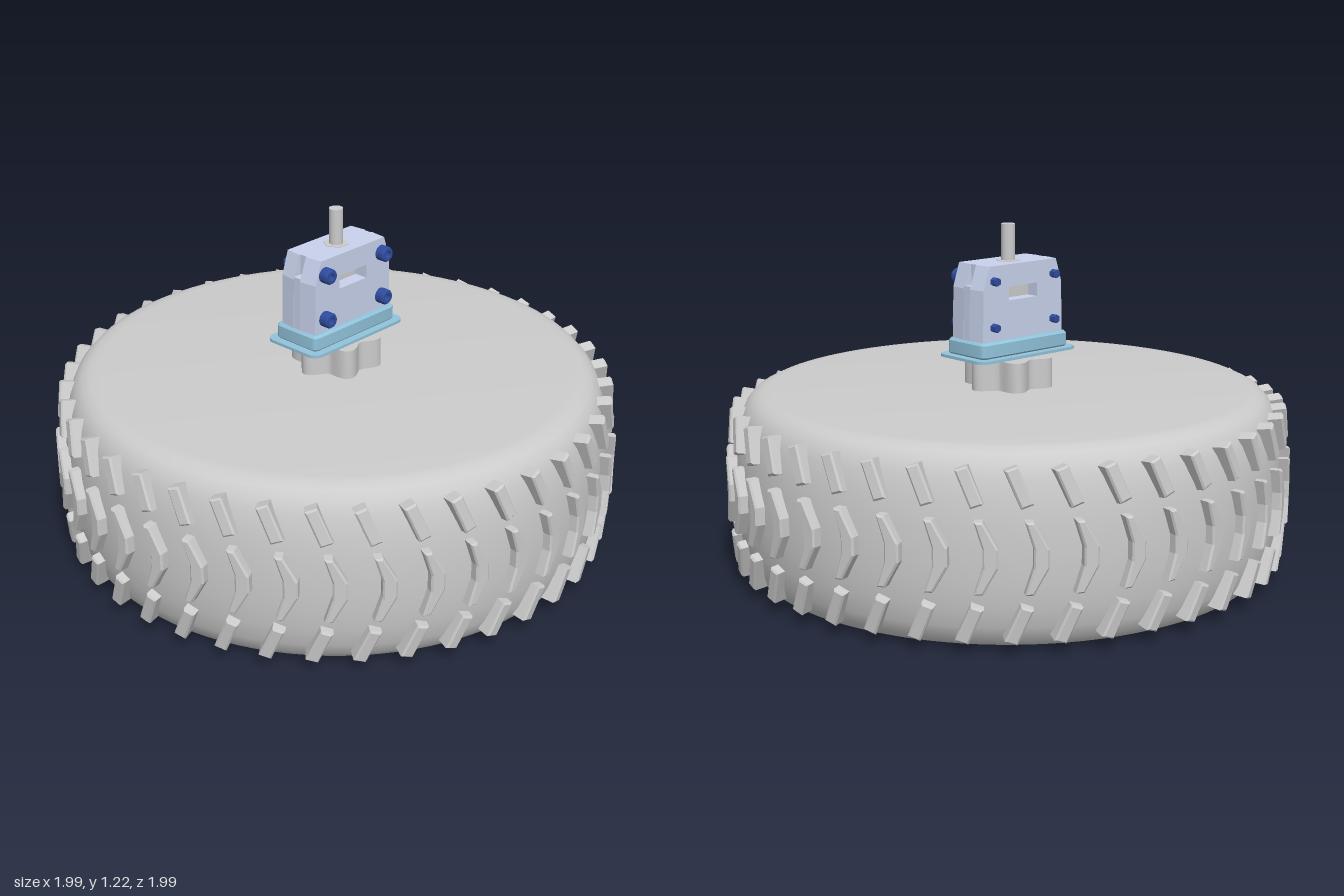
import * as THREE from 'three';
import { toCreasedNormals } from 'three/addons/utils/BufferGeometryUtils.js';

const grey = new THREE.MeshStandardMaterial({ color: 0xcccccc });
const paleBlue = new THREE.MeshStandardMaterial({ color: 0xc8d2ec });
const teal = new THREE.MeshStandardMaterial({ color: 0x92c4dc });
const boltBlue = new THREE.MeshStandardMaterial({ color: 0x2f4c9e });

const vecs = pts => pts.map(([x, y]) => new THREE.Vector2(x, y));

function add(parent, name, geometry, material, x = 0, y = 0, z = 0) {
  const mesh = new THREE.Mesh(geometry, material);
  mesh.name = name;
  mesh.position.set(x, y, z);
  parent.add(mesh);
  return mesh;
}

// Extrudes a shape between two depths, with a small chamfer inside the outline
function slab(shape, z0, z1, bevel = 0) {
  const g = new THREE.ExtrudeGeometry(shape, {
    depth: z1 - z0 - 2 * bevel, bevelEnabled: bevel > 0, bevelSegments: 1,
    bevelSize: bevel, bevelThickness: bevel, bevelOffset: -bevel, curveSegments: 8,
  });
  return g.translate(0, 0, z0 + bevel);
}

function roundedRect(hw, hh, r) {
  const s = new THREE.Shape();
  s.absarc(hw - r, hh - r, r, 0, Math.PI / 2);
  s.absarc(r - hw, hh - r, r, Math.PI / 2, Math.PI);
  s.absarc(r - hw, r - hh, r, Math.PI, Math.PI * 1.5);
  s.absarc(hw - r, r - hh, r, Math.PI * 1.5, Math.PI * 2);
  s.closePath();
  return s;
}

function makeTyre() {
  const tyre = new THREE.Group();
  tyre.name = 'tyre';

  // Body, from the recessed underside out and over to the flat top
  const profile = vecs([
    [0, 0.085], [0.1, 0.085], [0.1, 0.05], [0.24, 0.05], [0.24, 0.04], [0.35, 0.04],
    [0.38, 0.034], [0.42, 0.016], [0.45, 0.007], [0.48, 0.005], [0.83, 0.005],
    [0.865, 0.008], [0.895, 0.022], [0.92, 0.05], [0.937, 0.09], [0.952, 0.16],
    [0.96, 0.24], [0.962, 0.328], [0.96, 0.415], [0.952, 0.495], [0.937, 0.565],
    [0.92, 0.605], [0.895, 0.633], [0.865, 0.647], [0.83, 0.65], [0, 0.65],
  ]);
  add(tyre, 'tyreBody', toCreasedNormals(new THREE.LatheGeometry(profile, 96), 0.6), grey);

  // Tread blocks: a chevron in the middle, slanted blocks above and below
  const chevron = slab(new THREE.Shape(vecs([
    [-0.062, 0.115], [-0.035, 0.115], [0.012, 0.03], [0.012, -0.03],
    [-0.035, -0.115], [-0.062, -0.115], [-0.036, -0.03], [-0.036, 0.03],
  ])), 0.93, 0.994, 0.006).translate(0, 0.328, 0);
  const shoulder = side => slab(new THREE.Shape(vecs([
    [-0.122, 0.052], [-0.082, 0.066], [-0.033, -0.052], [-0.073, -0.066],
  ].map(([x, y]) => [x, y * side]))), -0.06, 0, 0.006)
    .rotateX(-0.13 * side).translate(0, 0.328 + 0.219 * side, 0.975);
  const blocks = { centreTread: chevron, upperTread: shoulder(1), lowerTread: shoulder(-1) };
  const count = 40;
  for (const [name, geometry] of Object.entries(blocks)) {
    for (let i = 0; i < count; i++) {
      add(tyre, name, geometry, grey).rotation.y = (i / count) * Math.PI * 2;
    }
  }
  return tyre;
}

function makeMount() {
  const mount = new THREE.Group();
  mount.name = 'mount';

  // Six-lobed knob and its neck
  const lobes = [];
  for (let i = 0; i < 96; i++) {
    const a = (i / 96) * Math.PI * 2;
    const r = 0.138 + 0.022 * Math.cos(6 * a);
    lobes.push(new THREE.Vector2(r * Math.cos(a), r * Math.sin(a)));
  }
  const knob = slab(new THREE.Shape(lobes), 0.645, 0.755).rotateX(-Math.PI / 2);
  add(mount, 'knob', toCreasedNormals(knob, 0.6), grey);
  add(mount, 'neck', new THREE.CylinderGeometry(0.08, 0.08, 0.03, 32), grey, 0, 0.76, 0);

  // Gasket: thin flange with a raised step
  const flange = slab(roundedRect(0.227, 0.12, 0.035), 0.766, 0.776).rotateX(-Math.PI / 2);
  const step = slab(roundedRect(0.202, 0.096, 0.02), 0.774, 0.832, 0.008).rotateX(-Math.PI / 2);
  add(mount, 'gasketFlange', toCreasedNormals(flange, 0.5), teal);
  add(mount, 'gasketStep', toCreasedNormals(step, 0.5), teal);

  // Housing in three layers; the middle one is cut back to leave the side slots
  const outer = [[-0.195, 0.83], [0.195, 0.83], [0.191, 1.01], [0.163, 1.092],
    [-0.163, 1.092], [-0.191, 1.01]];
  const inner = [[-0.193, 0.83], [0.193, 0.83], [0.191, 1.02], [0.158, 1.02], [0.158, 1.092],
    [-0.158, 1.092], [-0.158, 1.02], [-0.191, 1.02]];
  const withWindow = pts => {
    const s = new THREE.Shape(vecs(pts));
    s.holes.push(new THREE.Path(vecs([[-0.067, 0.967], [-0.067, 1.015], [0.067, 1.015], [0.067, 0.967]])));
    return s;
  };
  // Chamfers the outer face only, by scaling its outline
  const layer = (z0, z1, face) => {
    const g = slab(withWindow(outer), z0, z1);
    const p = g.attributes.position;
    for (let i = 0; i < p.count; i++) {
      const isRim = Math.abs(p.getX(i)) > 0.1;
      if (isRim && Math.abs(p.getZ(i) - face) < 1e-4) p.setX(i, p.getX(i) * 0.96);
    }
    g.computeVertexNormals();
    return g;
  };
  add(mount, 'housingFront', layer(0.015, 0.08, 0.08), paleBlue);
  add(mount, 'housingBack', layer(-0.077, -0.015, -0.077), paleBlue);
  add(mount, 'housingMiddle', slab(withWindow(inner), -0.015, 0.015), paleBlue);

  // Rod with its hexagonal collar, and the slider seen in the window
  add(mount, 'slider', new THREE.BoxGeometry(0.134, 0.048, 0.06), grey, 0, 0.991, 0);
  add(mount, 'hexCollar', new THREE.CylinderGeometry(0.045, 0.045, 0.03, 6).rotateY(Math.PI / 6),
    grey, 0, 1.079, 0).geometry = toCreasedNormals(
    new THREE.CylinderGeometry(0.045, 0.045, 0.03, 6).rotateY(Math.PI / 2), 0.3);
  add(mount, 'rod', new THREE.CylinderGeometry(0.024, 0.024, 0.23, 32), grey, 0, 1.105, 0);

  // Bolts through the housing: round socket heads in front, hex nuts behind
  const head = toCreasedNormals(new THREE.LatheGeometry(vecs([
    [0, 0], [0.027, 0], [0.027, 0.03], [0.023, 0.036], [0.013, 0.036], [0.013, 0.018], [0, 0.018],
  ]), 24).rotateX(Math.PI / 2), 0.5);
  const nut = toCreasedNormals(
    new THREE.CylinderGeometry(0.015, 0.015, 0.026, 6).rotateX(Math.PI / 2), 0.3);
  for (const x of [-0.14, 0.14]) {
    for (const y of [0.88, 1.04]) {
      add(mount, 'boltHead', head, boltBlue, x, y, 0.079);
      add(mount, 'boltNut', nut, boltBlue, x, y, -0.089);
    }
  }
  return mount;
}

export function createModel() {
  const model = new THREE.Group();
  model.name = 'wheelWithMount';
  model.add(makeTyre(), makeMount());
  return model;
}
